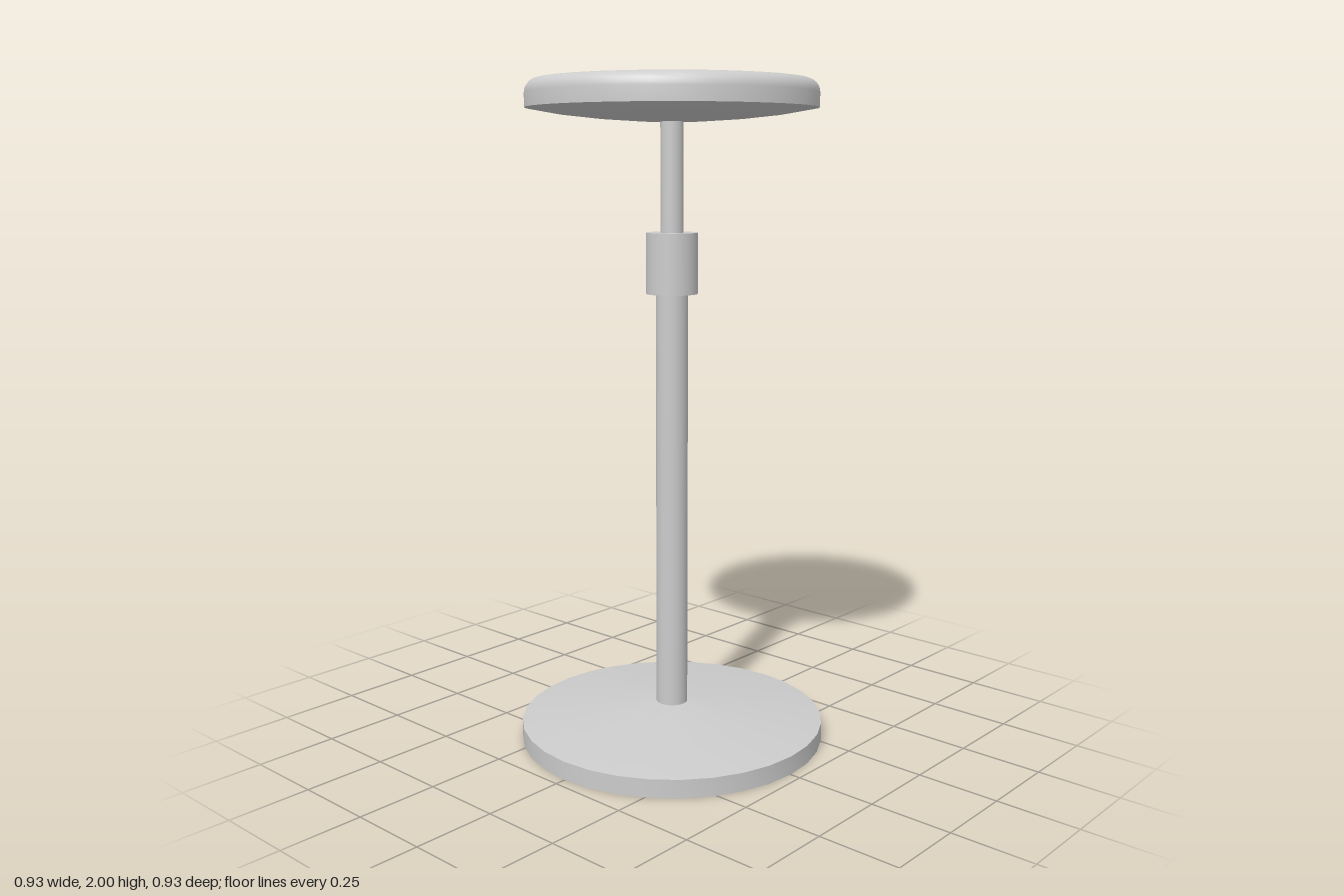
import * as THREE from 'three';
import { toCreasedNormals } from 'three/addons/utils/BufferGeometryUtils.js';

const SEGMENTS = 32;

export function createModel() {
  const model = new THREE.Group();
  model.name = 'stool';
  const material = new THREE.MeshStandardMaterial({ color: 0xcccccc });

  // Turned part: profile of [radius, height] from the bottom up
  function turned(name, profile) {
    const points = profile.map(([r, y]) => new THREE.Vector2(r, y));
    const geometry = toCreasedNormals(new THREE.LatheGeometry(points, SEGMENTS), 0.5);
    const mesh = new THREE.Mesh(geometry, material);
    mesh.name = name;
    model.add(mesh);
  }

  // Upright cylinder between two heights
  function post(name, radius, bottom, top) {
    const geometry = new THREE.CylinderGeometry(radius, radius, top - bottom, SEGMENTS);
    const mesh = new THREE.Mesh(geometry, material);
    mesh.name = name;
    mesh.position.y = (bottom + top) / 2;
    model.add(mesh);
  }

  // Weighted base: short rim and a shallow cone rising to the column
  turned('base', [[0, 0], [0.467, 0], [0.467, 0.056], [0.05, 0.106], [0, 0.106]]);

  // Telescoping column
  post('column', 0.048, 0.09, 1.4);
  post('collar', 0.077, 1.38, 1.56);
  post('innerRod', 0.034, 1.5, 1.9);

  // Seat: dished underside, straight side and rounded top edge
  const edge = [];
  for (let i = 0; i <= 6; i++) {
    const a = (i / 6) * Math.PI / 2;
    edge.push([0.387 + 0.04 * Math.cos(a), 1.96 + 0.04 * Math.sin(a)]);
  }
  turned('seat', [
    [0, 1.879], [0.1, 1.881], [0.22, 1.889], [0.33, 1.901], [0.427, 1.918],
    ...edge, [0, 2],
  ]);

  return model;
}
